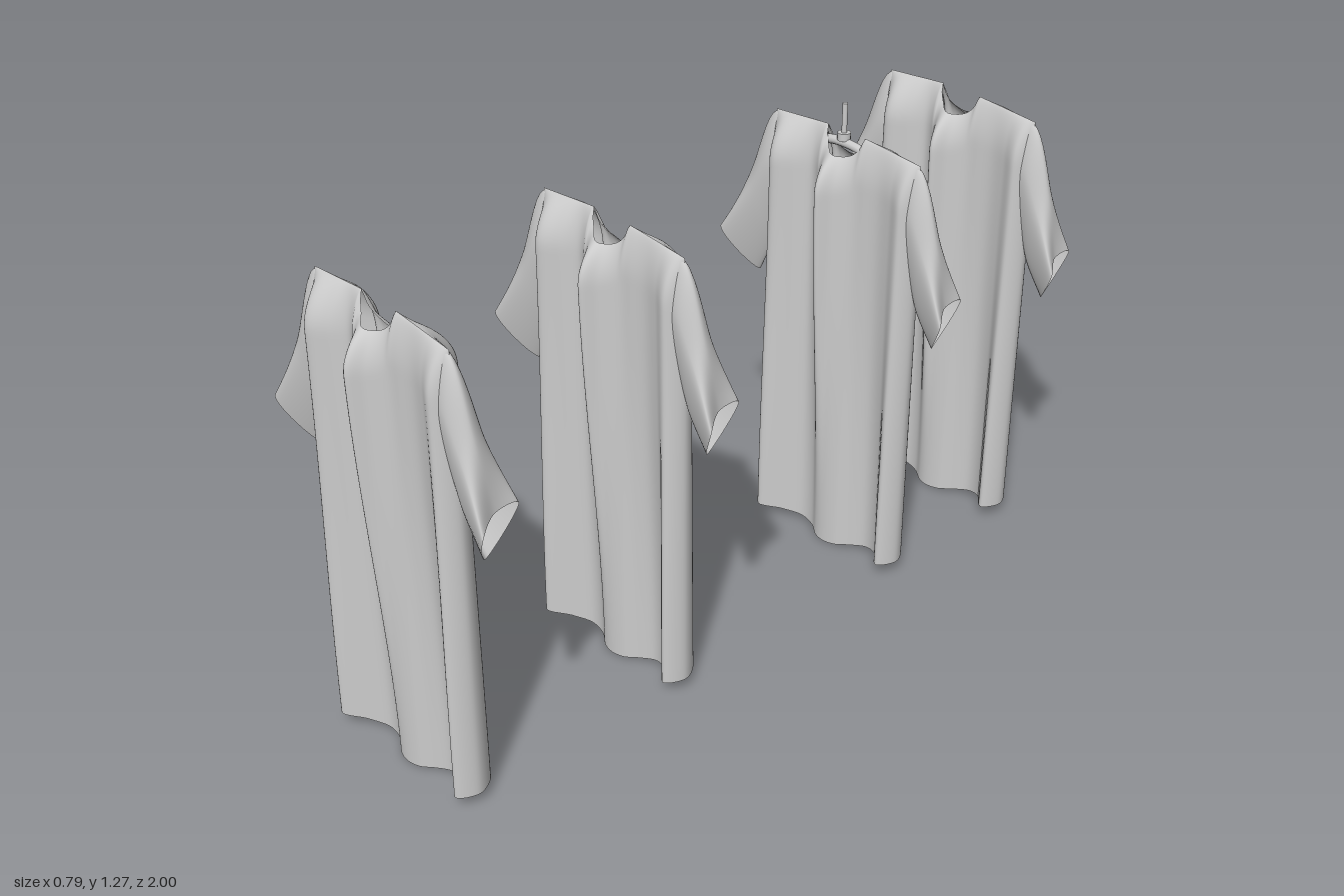
import * as THREE from 'three';

const cloth = new THREE.MeshStandardMaterial({ color: 0xcccccc, side: THREE.DoubleSide });
const solid = new THREE.MeshStandardMaterial({ color: 0xcccccc });
const V = (p) => new THREE.Vector3(...p);
const { lerp, smoothstep } = THREE.MathUtils;

// Smooth tube of cloth through equal-length closed loops of points
function loft(loops) {
  const rows = loops.length, cols = loops[0].length, index = [];
  for (let i = 0; i < rows - 1; i++) {
    for (let j = 0; j < cols; j++) {
      const k = (j + 1) % cols;
      const a = i * cols + j, b = i * cols + k, c = a + cols, d = b + cols;
      index.push(a, c, b, b, c, d);
    }
  }
  const geo = new THREE.BufferGeometry().setFromPoints(loops.flat());
  geo.setIndex(index);
  geo.computeVertexNormals();
  return geo;
}

function closedLoop(points, n) {
  const curve = new THREE.CatmullRomCurve3(points.map(V), true);
  return Array.from({ length: n }, (_, i) => curve.getPoint(i / n));
}

// Fold plan of the body, front left to right then back: [x, z near chest, z at hem]
const FOLDS = [
  [-0.237, 0, 0], [-0.22, 0.032, 0.045], [-0.185, 0.07, 0.09], [-0.13, 0.052, 0.05],
  [-0.08, 0.025, 0.02], [-0.04, 0.042, 0.022], [0, 0.092, 0.045], [0.03, 0.058, 0.05],
  [0.07, 0.032, 0.042], [0.105, 0.025, 0.02], [0.15, 0.02, 0.003], [0.195, 0.028, 0.015],
  [0.24, 0.042, 0.06], [0.265, 0, 0.01], [0.24, -0.04, -0.04], [0.195, -0.055, -0.062],
  [0.15, -0.092, -0.09], [0.11, -0.06, -0.055], [0.07, -0.025, -0.02], [0.03, -0.066, -0.045],
  [-0.01, -0.076, -0.06], [-0.06, -0.034, -0.025], [-0.1, -0.068, -0.065], [-0.15, -0.047, -0.045],
  [-0.21, -0.03, -0.025],
];

// Body: folds fade to a rounded shoulder seam on top, with a scooped neckline
function bodyGeometry() {
  const cols = 200, rows = 48;
  const chest = closedLoop(FOLDS.map(([x, z]) => [x, 0, z]), cols);
  const hem = closedLoop(FOLDS.map(([x, , z]) => [x, 0, z]), cols);
  const loops = [];
  for (let i = 0; i <= rows; i++) {
    const v = (i / rows) ** 2;
    loops.push(chest.map((p, j) => {
      const x = p.x + 0.1 * v * Math.max(0, p.x - 0.2);
      const seam = 1.206 - 0.08 * Math.abs(p.x);
      const t = (p.x - 0.013) / 0.062;
      const scoop = 0.063 * Math.sqrt(Math.max(0, 1 - t * t));
      const bottom = 0.017 * (1 - Math.cos(Math.PI * Math.min(1, Math.abs(p.x - 0.03) / 0.24)));
      const y = lerp(seam - scoop, bottom, v);
      // The back neckline leans in to the hanger, the front one hangs open
      const depth = seam - scoop * (p.z < 0 ? 0.92 : 0.65) - y;
      const fullness = Math.sin(Math.PI / 2 * Math.min(1, Math.max(0, depth) / 0.12)) ** 0.7;
      const z = lerp(p.z, hem[j].z, smoothstep(1.1 - y, 0, 1.1));
      return new THREE.Vector3(x, y, z * fullness);
    }));
  }
  return loft(loops);
}

// Sleeve: each section lists top, front, bottom and back points
function sleeveGeometry(sections, reverse) {
  const n = 48, steps = 24;
  const loops = sections.map((s) => closedLoop(reverse ? [s[0], s[3], s[2], s[1]] : s, n));
  const strands = loops[0].map((_, j) => new THREE.CatmullRomCurve3(loops.map((l) => l[j])));
  return loft(Array.from({ length: steps + 1 }, (_, i) => strands.map((s) => s.getPoint(i / steps))));
}

// Sections run from inside the body, over the shoulder, to the open hem
const LEFT_SLEEVE = [
  [[0.2, 1.17, 0], [0.2, 1.03, 0.02], [0.2, 0.9, 0], [0.2, 1.03, -0.022]],
  [[0.26, 1.18, 0], [0.258, 1.05, 0.03], [0.25, 0.865, 0], [0.258, 1.05, -0.035]],
  [[0.327, 1.0, -0.005], [0.315, 0.95, 0.027], [0.277, 0.79, -0.005], [0.3, 0.95, -0.055]],
  [[0.35, 0.825, -0.025], [0.39, 0.805, 0.034], [0.325, 0.705, -0.015], [0.342, 0.82, -0.094]],
];
const RIGHT_SLEEVE = [
  [[-0.18, 1.17, 0], [-0.18, 1.03, 0.022], [-0.18, 0.9, 0], [-0.18, 1.03, -0.022]],
  [[-0.24, 1.18, 0], [-0.235, 1.04, 0.032], [-0.23, 0.855, 0], [-0.235, 1.04, -0.028]],
  [[-0.32, 1.0, 0], [-0.3, 0.95, 0.038], [-0.262, 0.785, -0.012], [-0.3, 0.95, -0.033]],
  [[-0.388, 0.825, 0.005], [-0.394, 0.815, 0.052], [-0.31, 0.695, -0.02], [-0.36, 0.8, -0.043]],
];

function add(group, name, geo, mat, x = 0, y = 0) {
  const mesh = new THREE.Mesh(geo, mat);
  mesh.name = name;
  mesh.position.set(x, y, 0);
  group.add(mesh);
}

// Hanger: drooping shoulder bar, collar and upright stem
function createHanger() {
  const g = new THREE.Group();
  g.name = 'hanger';
  const path = new THREE.CatmullRomCurve3(
    [[-0.19, 1.1, 0], [-0.1, 1.145, 0], [-0.04, 1.164, 0], [0.005, 1.168, 0],
      [0.06, 1.164, 0], [0.11, 1.145, 0], [0.2, 1.1, 0]].map(V));
  add(g, 'hangerBar', new THREE.TubeGeometry(path, 40, 0.012, 10), solid);
  add(g, 'hangerCollar', new THREE.CylinderGeometry(0.017, 0.017, 0.02, 16), solid, 0.005, 1.185);
  add(g, 'hangerStem', new THREE.CylinderGeometry(0.007, 0.007, 0.1, 12), solid, 0.005, 1.222);
  return g;
}

export function createModel() {
  const model = new THREE.Group();
  model.name = 'hangingShirts';
  const body = bodyGeometry();
  const left = sleeveGeometry(LEFT_SLEEVE, true);
  const right = sleeveGeometry(RIGHT_SLEEVE, false);

  // Row of identical shirts
  [0.905, 0.28, -0.477, -0.905].forEach((z, i) => {
    const shirt = new THREE.Group();
    shirt.name = `shirt${i + 1}`;
    shirt.position.z = z;
    add(shirt, 'shirtBody', body, cloth);
    add(shirt, 'leftSleeve', left, cloth);
    add(shirt, 'rightSleeve', right, cloth);
    if (i === 2) shirt.add(createHanger());
    model.add(shirt);
  });
  return model;
}
